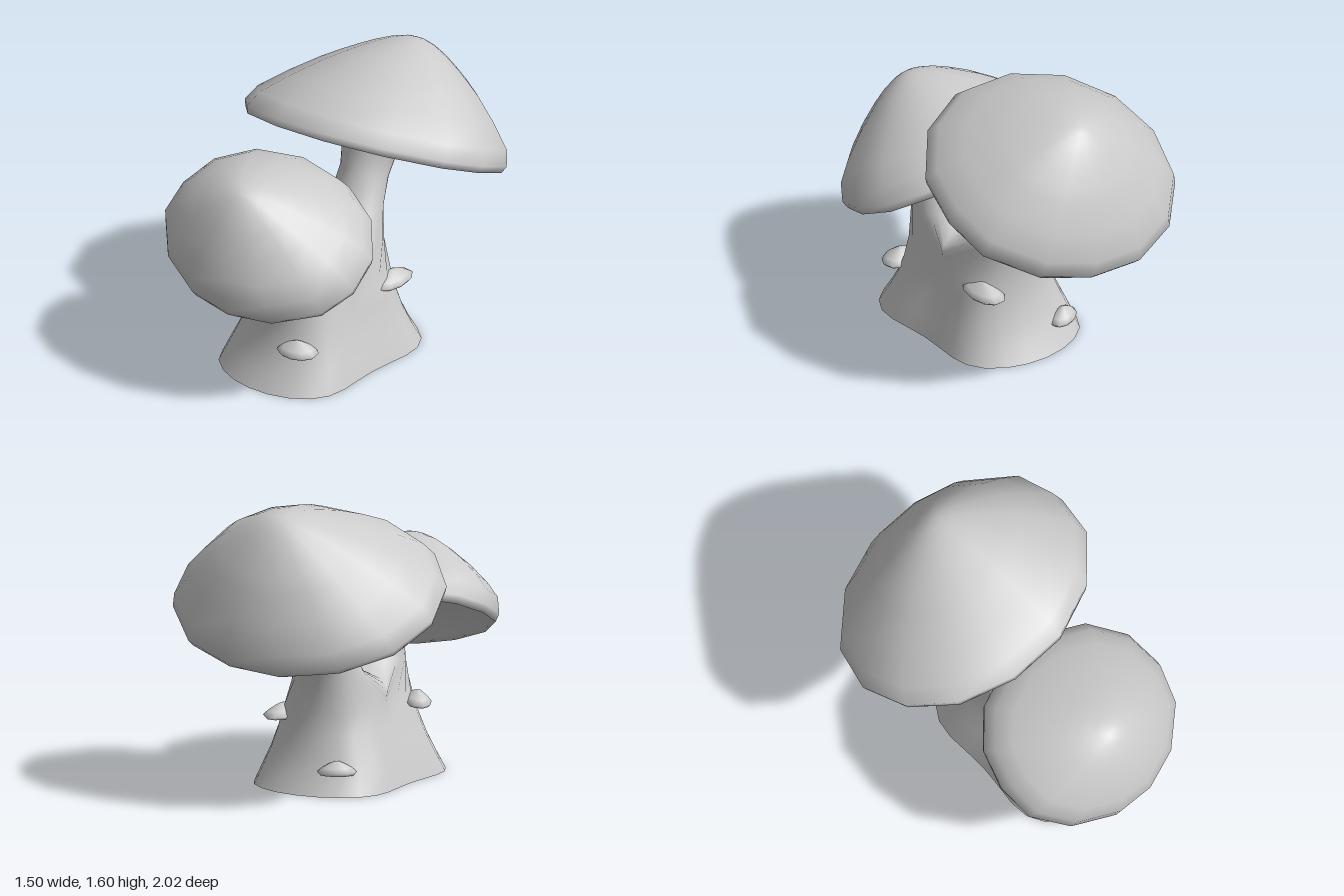
import * as THREE from 'three';
import { mergeVertices } from 'three/addons/utils/BufferGeometryUtils.js';

const N = 28; // points around the stem
const TAU = Math.PI * 2;
const ringOf = (n, fn) => Array.from({ length: n }, (_, i) => fn((i / n) * TAU));

// Skin several stacks of equal-length closed rings as one smooth surface
function loft(stacks) {
  const pos = [], index = [];
  for (const rings of stacks) {
    const n = rings[0].length, start = pos.length / 3;
    rings.forEach((ring) => ring.forEach((p) => pos.push(...p)));
    for (let i = 0; i < rings.length - 1; i++) {
      for (let j = 0; j < n; j++) {
        const a = start + i * n + j, b = start + i * n + ((j + 1) % n);
        index.push(a, b, b + n, a, b + n, a + n);
      }
    }
  }
  let g = new THREE.BufferGeometry();
  g.setAttribute('position', new THREE.Float32BufferAttribute(pos, 3));
  g.setIndex(index);
  g = mergeVertices(g, 1e-4);
  g.computeVertexNormals();
  return g;
}

// Cap: rim outline [x, z] on a sloping plane, profile of [scale, height along the plane's normal];
// lean slides the crown along the plane as it rises
function capGeometry({ centre: [cx, cy, cz], slope: [sx, sz], rim, profile, lean = [0, 0] }) {
  const n = new THREE.Vector3(-sx, 1, -sz).normalize();
  return loft([profile.map(([s, h]) => rim.map(([x, z]) => {
    const rise = Math.max(h, 0);
    const dx = (x - cx) * s + lean[0] * rise, dz = (z - cz) * s + lean[1] * rise;
    return [cx + dx + n.x * h, cy + dx * sx + dz * sz + n.y * h, cz + dz + n.z * h];
  }))]);
}

// Peanut-shaped section of the shared base
function basePoint(a, [y, cx, rx, cz, rz]) {
  const s = Math.sin(a);
  return [cx + 1.4 * rx * s * (1 - 0.32 * s ** 4), y, cz + rz * Math.cos(a)];
}

// Sloping oval section of a branch
const oval = ([x, y, z, rx, rz, slope]) => ringOf(N, (a) => {
  const dz = rz * Math.cos(a);
  return [x + rx * Math.sin(a), y + dz * slope, z + dz];
});

function stemGeometry() {
  // y, centre x, half width, centre z, half depth
  const levels = [
    [0, 0.07, 0.40, 0.13, 0.58],
    [0.1, 0.07, 0.365, 0.128, 0.52],
    [0.2, 0.07, 0.325, 0.125, 0.475],
    [0.31, 0.075, 0.285, 0.127, 0.445],
    [0.42, 0.08, 0.25, 0.13, 0.43],
  ];
  const top = levels[levels.length - 1];
  const base = levels.map((l) => ringOf(N, (a) => basePoint(a, l)));
  // Each branch starts on half of the base ring and closes over an arched saddle
  const root = (side) => ringOf(N, (a) => {
    const p = basePoint(a, top), c = Math.cos(a) * side;
    return c >= -1e-6 ? p : [p[0], top[0] + 0.175 * -c, top[3]];
  });
  const front = [
    [0.09, 0.61, 0.385, 0.195, 0.185, -0.13],
    [0.09, 0.70, 0.44, 0.16, 0.14, -0.42],
    [0.08, 0.79, 0.48, 0.165, 0.145, -0.45],
    [0.07, 0.89, 0.525, 0.25, 0.22, -0.46],
  ];
  const back = [
    [0.06, 0.61, -0.11, 0.2, 0.185, 0.05],
    [0.035, 0.77, -0.21, 0.155, 0.13, 0.2],
    [0.02, 0.92, -0.29, 0.135, 0.125, 0.42],
    [0.0, 1.05, -0.36, 0.15, 0.155, 0.45],
    [-0.01, 1.18, -0.42, 0.22, 0.22, 0.48],
  ];
  return loft([
    base,
    [root(1), ...front.map(oval)],
    [root(-1), ...back.map(oval)],
  ]);
}

export function createModel() {
  const group = new THREE.Group();
  const material = new THREE.MeshStandardMaterial({ color: 0xcccccc, side: THREE.DoubleSide });
  const add = (name, geometry) => {
    const mesh = new THREE.Mesh(geometry, material);
    mesh.name = name;
    group.add(mesh);
    return mesh;
  };

  add('forkedStem', stemGeometry());

  // Tall rear cap, tipped backwards
  add('largeCap', capGeometry({
    centre: [0, 1.08, -0.38],
    slope: [0.09, 0.48],
    rim: [
      [-0.17, 0.23], [0.17, 0.22], [0.48, 0.08], [0.70, -0.17], [0.75, -0.43],
      [0.70, -0.67], [0.47, -0.89], [0.18, -0.98], [-0.14, -0.975], [-0.45, -0.85],
      [-0.67, -0.63], [-0.75, -0.35], [-0.68, -0.09], [-0.48, 0.12],
    ],
    profile: [
      [0.15, 0.13], [0.4, 0.11], [0.7, 0.06], [0.93, -0.005], [0.975, -0.02], [1, 0.02],
      [0.95, 0.11], [0.78, 0.235], [0.6, 0.35], [0.49, 0.41], [0.38, 0.465],
      [0.27, 0.515], [0.16, 0.555], [0.07, 0.576], [0, 0.58],
    ],
    lean: [0.14, -0.11],
  }));

  // Lower front cap, tipped forwards and to its left
  add('smallCap', capGeometry({
    centre: [0.05, 0.81, 0.52],
    slope: [-0.21, -0.45],
    rim: [
      [-0.10, 0.975], [0.13, 0.965], [0.37, 0.87], [0.57, 0.68], [0.63, 0.48], [0.59, 0.28],
      [0.43, 0.11], [0.2, 0.03], [-0.07, 0.04], [-0.33, 0.15], [-0.49, 0.33], [-0.54, 0.54],
      [-0.51, 0.73], [-0.35, 0.89],
    ],
    profile: [
      [0.15, 0.12], [0.4, 0.1], [0.7, 0.05], [0.93, -0.01], [0.975, -0.03], [1, 0.015],
      [0.95, 0.11], [0.82, 0.195], [0.62, 0.295], [0.43, 0.375], [0.29, 0.425],
      [0.16, 0.46], [0.07, 0.475], [0, 0.478],
    ],
    lean: [-0.15, 0.11],
  }));

  // Little bracket caps on the sides: position, half width, half depth, facing angle, tilt
  const brackets = [
    ['frontBracket', [0.28, 0.235, 0.55], 0.12, 0.09, 0.25, 0],
    ['rightBracket', [-0.18, 0.385, 0.42], 0.12, 0.08, -0.9, 0.15],
    ['leftBracket', [0.3, 0.375, -0.19], 0.15, 0.09, Math.PI / 2, 0],
    ['backBracket', [-0.13, 0.125, -0.34], 0.11, 0.07, Math.PI + 0.5, 0],
  ];
  for (const [name, position, w, d, turn, tilt] of brackets) {
    const mesh = add(name, capGeometry({
      centre: [0, 0, 0],
      slope: [0, 0],
      rim: ringOf(10, (a) => [w * Math.sin(a), d * Math.cos(a)]),
      profile: [[0, -0.012], [0.6, -0.014], [0.85, -0.01], [1, 0.008], [0.75, 0.03], [0.4, 0.052], [0.15, 0.064], [0, 0.066]],
    }));
    mesh.position.set(...position);
    mesh.rotation.set(0, turn, tilt, 'ZYX');
  }
  return group;
}
